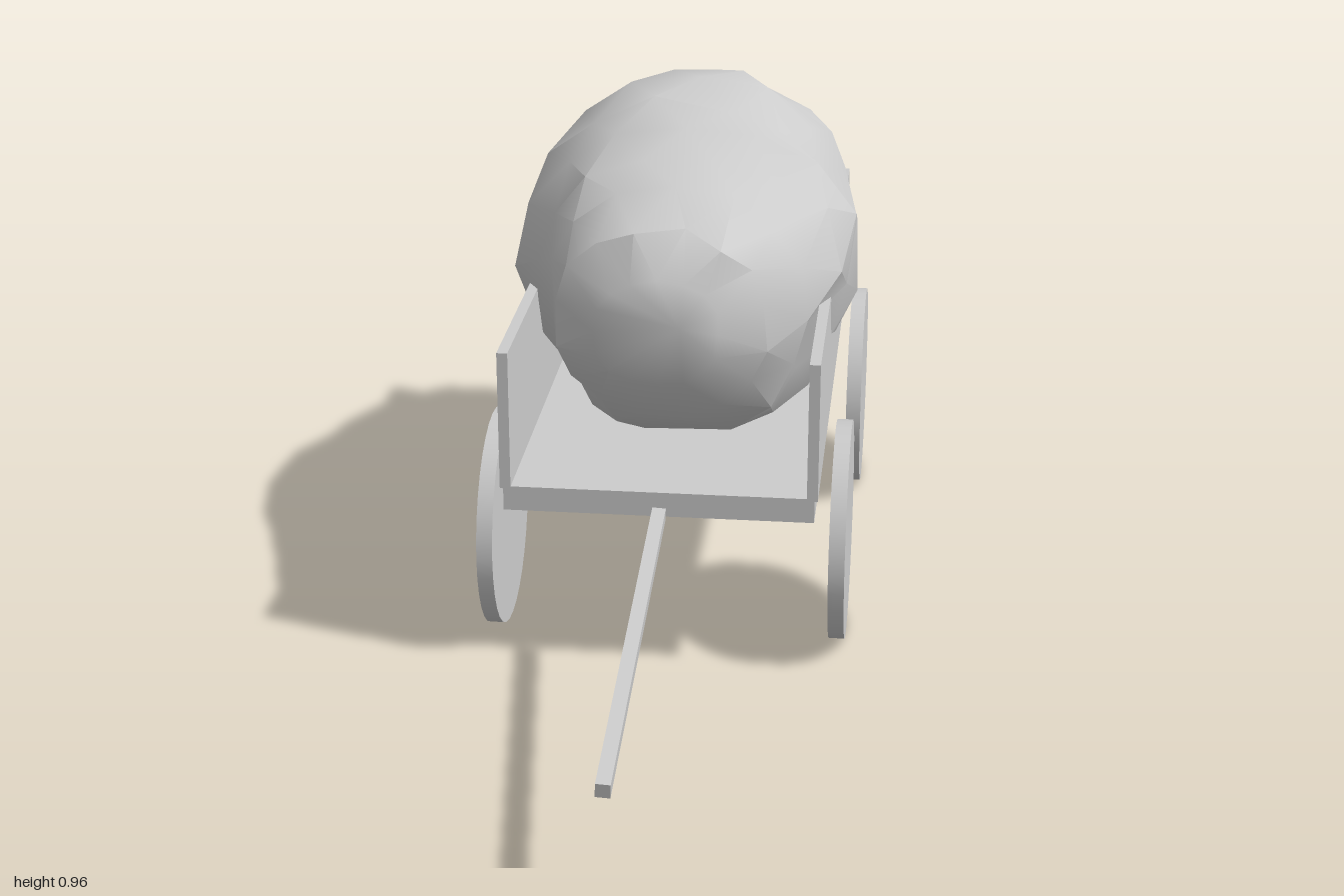
import * as THREE from 'three';
import { toCreasedNormals } from 'three/addons/utils/BufferGeometryUtils.js';

const grey = new THREE.MeshStandardMaterial({ color: 0xcccccc });
grey.name = 'plain grey';

function add(group, name, geometry, x, y, z) {
  const mesh = new THREE.Mesh(geometry, grey);
  mesh.name = name;
  mesh.position.set(x, y, z);
  group.add(mesh);
  return mesh;
}

// Seeded noise, -1 to 1
function makeNoise(seed) {
  return () => {
    seed = (seed * 16807) % 2147483647;
    return (seed / 2147483647) * 2 - 1;
  };
}

// Lumpy heap lofted through cross-sections: z, right x, left x, bottom, top
function loadGeometry() {
  const sections = [
    [0.21, -0.12, 0.11, 0.57, 0.77],
    [0.15, -0.20, 0.19, 0.48, 0.85],
    [0.03, -0.245, 0.26, 0.41, 0.88],
    [-0.08, -0.28, 0.30, 0.37, 0.91],
    [-0.20, -0.31, 0.325, 0.345, 0.94],
    [-0.36, -0.325, 0.335, 0.33, 0.95],
    [-0.50, -0.315, 0.325, 0.33, 0.96],
    [-0.62, -0.29, 0.31, 0.34, 0.935],
    [-0.73, -0.26, 0.285, 0.38, 0.905],
    [-0.83, -0.22, 0.245, 0.42, 0.87],
    [-0.92, -0.16, 0.18, 0.50, 0.83],
    [-0.98, -0.11, 0.09, 0.58, 0.77],
  ];
  // Knobs and hollows: x, y, z, radius, push
  const lumps = [
    [0.30, 0.77, -0.18, 0.16, 0.04],
    [0.30, 0.54, -0.10, 0.17, -0.04],
    [0.32, 0.52, -0.38, 0.12, 0.015],
    [0.29, 0.55, -0.66, 0.17, -0.03],
    [0.24, 0.90, -0.40, 0.22, -0.035],
    [0.10, 0.94, -0.55, 0.13, 0.02],
    [0.02, 0.86, -0.90, 0.10, -0.04],
    [-0.30, 0.70, -0.20, 0.13, 0.02],
    [-0.26, 0.55, -0.02, 0.18, -0.04],
    [-0.30, 0.50, -0.42, 0.22, -0.025],
    [-0.29, 0.58, -0.64, 0.15, -0.025],
    [-0.28, 0.82, -0.45, 0.12, 0.02],
  ];
  const sides = 16;
  const noise = makeNoise(4211);
  const round = (v) => Math.sign(v) * Math.abs(v) ** (2 / 2.25);
  const points = [];
  const index = [];
  sections.forEach(([z, x0, x1, y0, y1], i) => {
    const cx = (x0 + x1) / 2;
    const cy = (y0 + y1) / 2;
    for (let j = 0; j < sides; j++) {
      const angle = ((j + (i % 2) * 0.5) / sides) * Math.PI * 2;
      const rough = 1 + 0.035 * noise();
      const p = new THREE.Vector3(
        cx + round(Math.cos(angle)) * ((x1 - x0) / 2) * rough,
        cy + round(Math.sin(angle)) * ((y1 - y0) / 2) * rough,
        z + (i > 0 && i < sections.length - 1 ? 0.025 * noise() : 0)
      );
      let push = 0;
      for (const [lx, ly, lz, radius, amount] of lumps) {
        const d = Math.hypot(p.x - lx, p.y - ly, p.z - lz) / radius;
        push += amount * Math.max(0, 1 - d * d);
      }
      points.push(p.x + Math.cos(angle) * push, p.y + Math.sin(angle) * push, p.z);
    }
  });
  const rings = sections.length;
  const front = rings * sides;
  const back = front + 1;
  points.push(0.04, 0.69, 0.235, -0.02, 0.68, -1);
  for (let j = 0; j < sides; j++) {
    const k = (j + 1) % sides;
    index.push(front, j, k);
    for (let i = 0; i < rings - 1; i++) {
      const a = i * sides + j, b = i * sides + k;
      const c = a + sides, d = b + sides;
      // The half-step twist alternates, so the diagonal does too
      if (i % 2 === 0) index.push(a, c, b, b, c, d);
      else index.push(a, c, d, a, d, b);
    }
    const last = (rings - 1) * sides;
    index.push(back, last + k, last + j);
  }
  const geometry = new THREE.BufferGeometry();
  geometry.setAttribute('position', new THREE.Float32BufferAttribute(points, 3));
  geometry.setIndex(index);
  return toCreasedNormals(geometry, 0.6);
}

export function createModel() {
  const wagon = new THREE.Group();
  wagon.name = 'wagon';

  // Flat bed and side boards
  add(wagon, 'bed', new THREE.BoxGeometry(0.572, 0.047, 1.215), 0, 0.3455, -0.376);
  for (const side of [1, -1]) {
    add(wagon, side > 0 ? 'leftBoard' : 'rightBoard',
      new THREE.BoxGeometry(0.02, 0.265, 1.225), side * 0.282, 0.4975, -0.38);
  }

  // Four solid disc wheels
  const wheel = new THREE.CylinderGeometry(0.21, 0.21, 0.03, 32).rotateZ(Math.PI / 2);
  for (const side of [1, -1]) {
    for (const [end, z] of [['front', 0.006], ['rear', -0.758]]) {
      add(wagon, `${end}${side > 0 ? 'Left' : 'Right'}Wheel`, wheel, side * 0.328, 0.21, z);
    }
  }

  // Sloping draw pole, slightly askew
  const pole = add(wagon, 'pole', new THREE.BoxGeometry(0.025, 0.027, 0.772), 0, 0.261, 0.617);
  pole.rotation.set(Math.atan2(0.136, 0.76), -0.006, -0.05);

  // Heaped load
  add(wagon, 'load', loadGeometry(), 0, 0, 0);
  return wagon;
}
